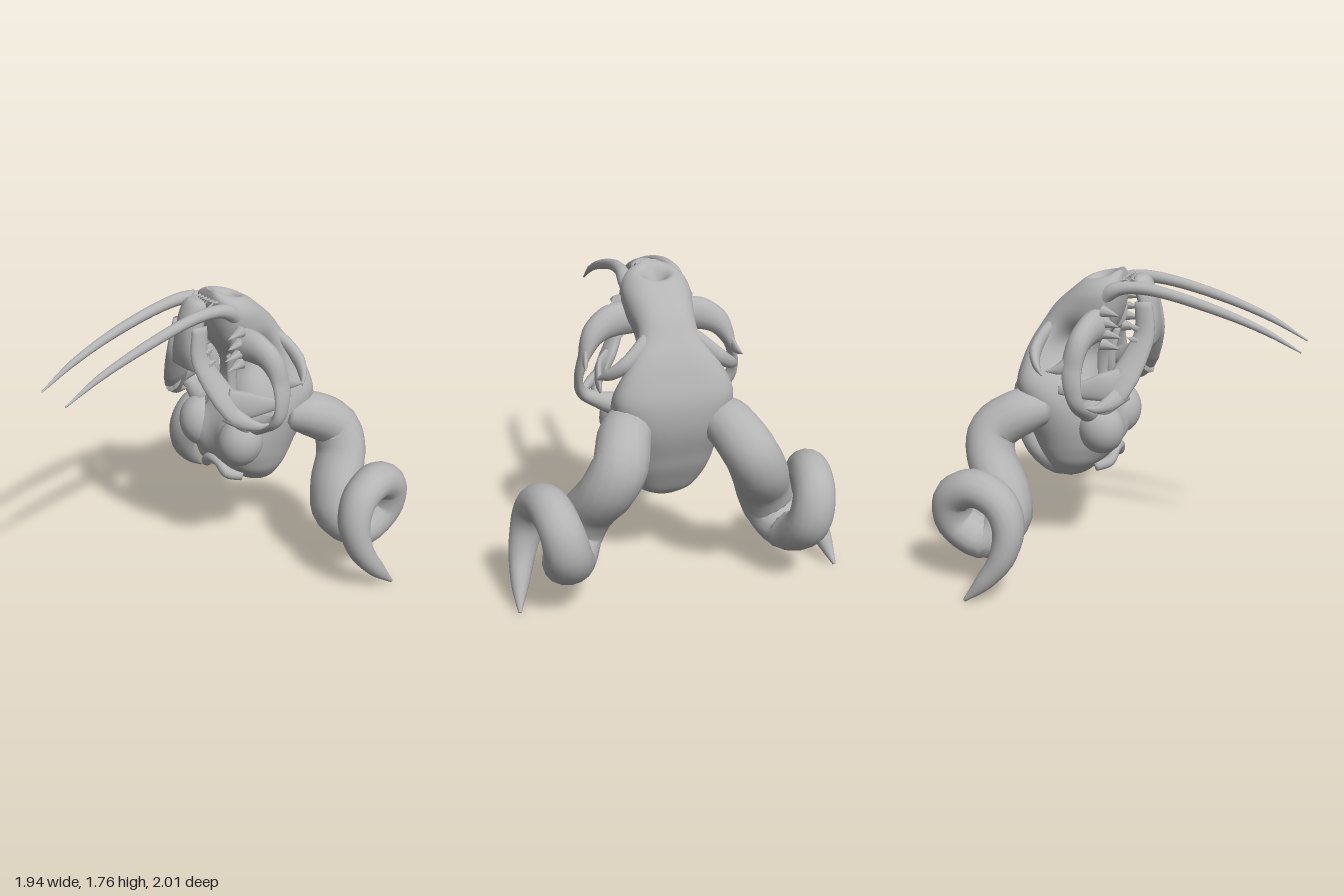
import * as THREE from 'three';

const V = (p) => new THREE.Vector3(...p);

// Closed smooth surface through rings of points, faces always outward
function loft(rings) {
  const n = rings[0].length, pos = [], idx = [];
  rings.forEach((r) => r.forEach((p) => pos.push(p.x, p.y, p.z)));
  for (let i = 0; i < rings.length - 1; i++)
    for (let j = 0; j < n; j++) {
      const a = i * n + j, b = i * n + ((j + 1) % n);
      idx.push(a, b, b + n, a, b + n, a + n);
    }
  [0, rings.length - 1].forEach((k, end) => {
    const c = rings[k].reduce((s, p) => s.add(p), new THREE.Vector3()).divideScalar(n);
    const ci = pos.length / 3;
    pos.push(c.x, c.y, c.z);
    for (let j = 0; j < n; j++) {
      const a = k * n + j, b = k * n + ((j + 1) % n);
      if (end) idx.push(a, b, ci); else idx.push(b, a, ci);
    }
  });
  let vol = 0;
  const P = (i) => new THREE.Vector3(pos[3 * i], pos[3 * i + 1], pos[3 * i + 2]);
  for (let i = 0; i < idx.length; i += 3) vol += P(idx[i]).dot(P(idx[i + 1]).cross(P(idx[i + 2])));
  if (vol < 0) idx.reverse();
  const g = new THREE.BufferGeometry();
  g.setAttribute('position', new THREE.Float32BufferAttribute(pos, 3));
  g.setIndex(idx);
  g.computeVertexNormals();
  return g;
}

// Elliptical sweep: each point is [x, y, z, radius, radius along ref]
function sweep(pts, ref = [0, 0, 1], steps = 24, sides = 14) {
  const curve = new THREE.CatmullRomCurve3(pts.map((p) => V(p.slice(0, 3))));
  const rings = [];
  for (let i = 0; i <= steps; i++) {
    const t = i / steps, f = t * (pts.length - 1), k = Math.min(Math.floor(f), pts.length - 2);
    const rad = (c) => THREE.MathUtils.lerp(pts[k][c] ?? pts[k][3], pts[k + 1][c] ?? pts[k + 1][3], f - k);
    const c = curve.getPoint(t), T = curve.getTangent(t);
    const u = V(ref).addScaledVector(T, -T.dot(V(ref))).normalize();
    const v = new THREE.Vector3().crossVectors(T, u);
    rings.push(Array.from({ length: sides }, (_, j) => {
      const a = (j / sides) * Math.PI * 2;
      return c.clone().addScaledVector(v, Math.cos(a) * rad(3)).addScaledVector(u, Math.sin(a) * rad(4));
    }));
  }
  return loft(rings);
}

// Stacked sections [y, front half width, back half width, front z, back z]
function stack(rows, steps, sides, power, warp) {
  const rings = [];
  const spline = (c) => new THREE.SplineCurve(rows.map((r, i) => new THREE.Vector2(i, r[c])));
  const cols = [0, 1, 2, 3, 4].map(spline);
  for (let i = 0; i <= steps; i++) {
    const [y, wf, wb, zf, zb] = cols.map((s) => s.getPoint(i / steps).y);
    rings.push(Array.from({ length: sides }, (_, j) => {
      const a = (j / sides) * Math.PI * 2, c = Math.cos(a), s = Math.sin(a);
      const x = Math.sign(c) * Math.abs(c) ** power * THREE.MathUtils.lerp(wb, wf, (s + 1) / 2);
      const p = new THREE.Vector3(x, y, (zf + zb) / 2 + (s * (zf - zb)) / 2);
      if (warp) warp(p);
      return p;
    }));
  }
  return loft(rings);
}

export function createModel() {
  const model = new THREE.Group();
  const bone = new THREE.MeshStandardMaterial({ color: 0xb4b4b4 });
  bone.name = 'bone';
  const add = (name, geo) => {
    const m = new THREE.Mesh(geo, bone);
    m.name = name;
    model.add(m);
    return m;
  };
  const pair = (name, pts, ref, steps, sides) => {
    for (const s of [1, -1])
      add((s > 0 ? 'left ' : 'right ') + name, sweep(pts.map(([x, ...r]) => [x * s, ...r]), ref, steps, sides));
  };
  const tooth = (name, from, to, r) => {
    const d = V(to).sub(V(from));
    const m = add(name, new THREE.ConeGeometry(r, d.length(), 7));
    m.position.copy(V(from).addScaledVector(d, 0.5));
    m.quaternion.setFromUnitVectors(new THREE.Vector3(0, 1, 0), d.normalize());
  };

  // Cranium and muzzle, with hollow eye sockets, nose and neck opening, and swollen ear bulbs
  const near = (p, x, y, z, r) => Math.exp(-((p.x - x) ** 2 + (p.y - y) ** 2 + (p.z - z) ** 2) / (r * r));
  add('cranium', stack([
    [0.465, 0.05, 0.06, -0.38, -0.43], [0.51, 0.15, 0.17, -0.27, -0.48],
    [0.6, 0.22, 0.25, -0.16, -0.53], [0.68, 0.24, 0.29, -0.1, -0.57], [0.76, 0.26, 0.31, -0.09, -0.6],
    [0.9, 0.27, 0.36, -0.11, -0.65], [1.02, 0.25, 0.41, -0.15, -0.67],
    [1.13, 0.19, 0.44, -0.18, -0.665], [1.25, 0.12, 0.4, -0.18, -0.63],
    [1.35, 0.13, 0.32, -0.15, -0.59], [1.45, 0.2, 0.22, -0.09, -0.53],
    [1.55, 0.22, 0.18, -0.06, -0.46], [1.65, 0.21, 0.17, -0.05, -0.35],
    [1.72, 0.16, 0.13, -0.05, -0.26], [1.77, 0.05, 0.05, -0.06, -0.14],
  ], 90, 80, 0.65, (p) => {
    const s = Math.sign(p.x);
    p.x *= 1 - 0.55 * near(p, s * 0.25, 1.33, -0.32, 0.14);
    p.y -= 0.13 * near(p, 0, 1.74, -0.18, 0.065);
    p.z += 0.08 * near(p, s * 0.19, 0.83, -0.1, 0.13);
    p.z -= 0.1 * near(p, 0, 0.59, -0.16, 0.07);
  }));

  // Brow ridges with pointed ends
  pair('brow', [[0.1, 1.46, -0.42, 0.03, 0.03], [0.16, 1.41, -0.48, 0.04, 0.035],
    [0.27, 1.31, -0.515, 0.045, 0.035], [0.355, 1.25, -0.48, 0.035, 0.022], [0.41, 1.215, -0.43, 0.005, 0.005]]);

  // Cheek arches and their spurs
  pair('cheek arch', [[0.14, 1.47, -0.16, 0.1, 0.08], [0.27, 1.46, -0.19, 0.095, 0.07],
    [0.37, 1.405, -0.22, 0.07, 0.065], [0.435, 1.28, -0.24, 0.03, 0.06], [0.465, 1.14, -0.225, 0.022, 0.05],
    [0.44, 1.06, -0.21, 0.035, 0.045], [0.34, 1.0, -0.2, 0.05, 0.05], [0.2, 0.95, -0.2, 0.08, 0.09]], [0, 0, 1], 40);
  pair('cheek spur', [[0.43, 1.3, -0.25, 0.055, 0.02], [0.445, 1.27, -0.32, 0.03, 0.015],
    [0.46, 1.26, -0.385, 0.004, 0.004]], [1, 0, 0], 10, 10);

  // Ridges along the palate
  pair('palate ridge', [[0.1, 1.38, -0.14, 0.015, 0.03], [0.08, 1.26, -0.165, 0.014, 0.035],
    [0.08, 1.14, -0.17, 0.016, 0.03], [0.1, 1.04, -0.165, 0.02, 0.025], [0.13, 0.95, -0.15, 0.02, 0.02]]);

  // Ear bulbs and the rim around the neck opening
  for (const s of [1, -1]) {
    const bulb = add('ear bulb', new THREE.SphereGeometry(1, 28, 18));
    bulb.scale.set(0.135, 0.16, 0.14);
    bulb.position.set(0.185 * s, 0.84, -0.15);
    bulb.rotation.z = -0.35 * s;
  }
  add('neck rim', sweep([[-0.15, 0.575, -0.2, 0.03], [-0.1, 0.6, -0.125, 0.035], [-0.045, 0.655, -0.105, 0.03],
    [0.045, 0.655, -0.105, 0.03], [0.1, 0.6, -0.125, 0.035], [0.15, 0.575, -0.2, 0.03]]));

  // Lower jaw: chin, two side branches, rear points
  add('chin', stack([[1.74, 0.03, 0.05, 0.08, 0.02], [1.71, 0.06, 0.1, 0.105, 0.005], [1.64, 0.07, 0.12, 0.135, 0.02],
    [1.55, 0.08, 0.12, 0.15, 0.045], [1.43, 0.11, 0.13, 0.155, 0.06], [1.34, 0.12, 0.13, 0.14, 0.08]], 20, 28, 0.8));
  pair('jaw branch', [[0.09, 1.6, 0.08, 0.03, 0.05], [0.115, 1.42, 0.095, 0.035, 0.06],
    [0.175, 1.29, 0.055, 0.035, 0.075], [0.23, 1.19, 0.01, 0.04, 0.085], [0.285, 1.1, -0.025, 0.035, 0.07],
    [0.33, 1.02, -0.075, 0.02, 0.035], [0.34, 1.0, -0.14, 0.008, 0.01]], [0, 0, 1], 32);
  pair('jaw rear point', [[0.24, 1.16, 0.0, 0.085, 0.03], [0.31, 1.14, -0.1, 0.085, 0.025],
    [0.35, 1.12, -0.24, 0.045, 0.02], [0.37, 1.12, -0.345, 0.025, 0.01]], [1, 0, 0]);
  pair('jaw heel', [[0.26, 1.11, 0.01, 0.06, 0.035], [0.35, 1.06, -0.05, 0.045, 0.03],
    [0.405, 1.04, -0.11, 0.025, 0.02], [0.43, 1.05, -0.16, 0.006, 0.006]], [1, 0, 0], 12, 10);

  // Long sabre fangs rooted in the muzzle
  pair('sabre fang', [[0.14, 1.61, -0.15, 0.045], [0.148, 1.665, -0.09, 0.045], [0.145, 1.69, -0.01, 0.038],
    [0.14, 1.685, 0.15, 0.034], [0.14, 1.61, 0.47, 0.029], [0.13, 1.5, 0.78, 0.02], [0.12, 1.385, 1.0, 0.005]],
  [1, 0, 0], 36);

  // Small teeth
  for (let i = 0; i < 6; i++) {
    const x = (i - 2.5) * 0.03;
    tooth('upper incisor', [x, 1.71, -0.07], [x, 1.72, -0.015], 0.015);
    tooth('lower incisor', [x * 0.8, 1.69, 0.05], [x * 0.8, 1.735, -0.005], 0.014);
  }
  for (const s of [1, -1]) {
    tooth('lower canine', [0.085 * s, 1.66, 0.05], [0.095 * s, 1.74, -0.03], 0.022);
    for (let i = 0; i < 4; i++) {
      const y = 1.56 - i * 0.065;
      tooth('upper cheek tooth', [0.205 * s, y, -0.13], [0.22 * s, y - 0.02, i === 2 ? 0 : -0.02], 0.038);
      if (i) tooth('lower cheek tooth', [(0.09 + i * 0.025) * s, y - 0.05, 0.06], [(0.1 + i * 0.025) * s, y - 0.03, 0], 0.03);
    }
  }

  // Coiled horns
  pair('horn', [[0.22, 0.97, -0.47, 0.11, 0.13], [0.3, 0.94, -0.6, 0.14, 0.15], [0.37, 0.83, -0.755, 0.145, 0.155],
    [0.44, 0.69, -0.745, 0.14, 0.16], [0.52, 0.52, -0.625, 0.13, 0.16], [0.585, 0.37, -0.59, 0.125, 0.155],
    [0.655, 0.275, -0.71, 0.122, 0.15], [0.695, 0.39, -0.878, 0.115, 0.13], [0.73, 0.55, -0.865, 0.112, 0.12],
    [0.765, 0.63, -0.72, 0.11, 0.115], [0.8, 0.575, -0.56, 0.105, 0.11], [0.835, 0.44, -0.495, 0.092, 0.1],
    [0.88, 0.27, -0.525, 0.075, 0.08], [0.92, 0.12, -0.63, 0.05], [0.945, 0.01, -0.735, 0.01]], [1, 0, 0], 64, 16);

  return model;
}
